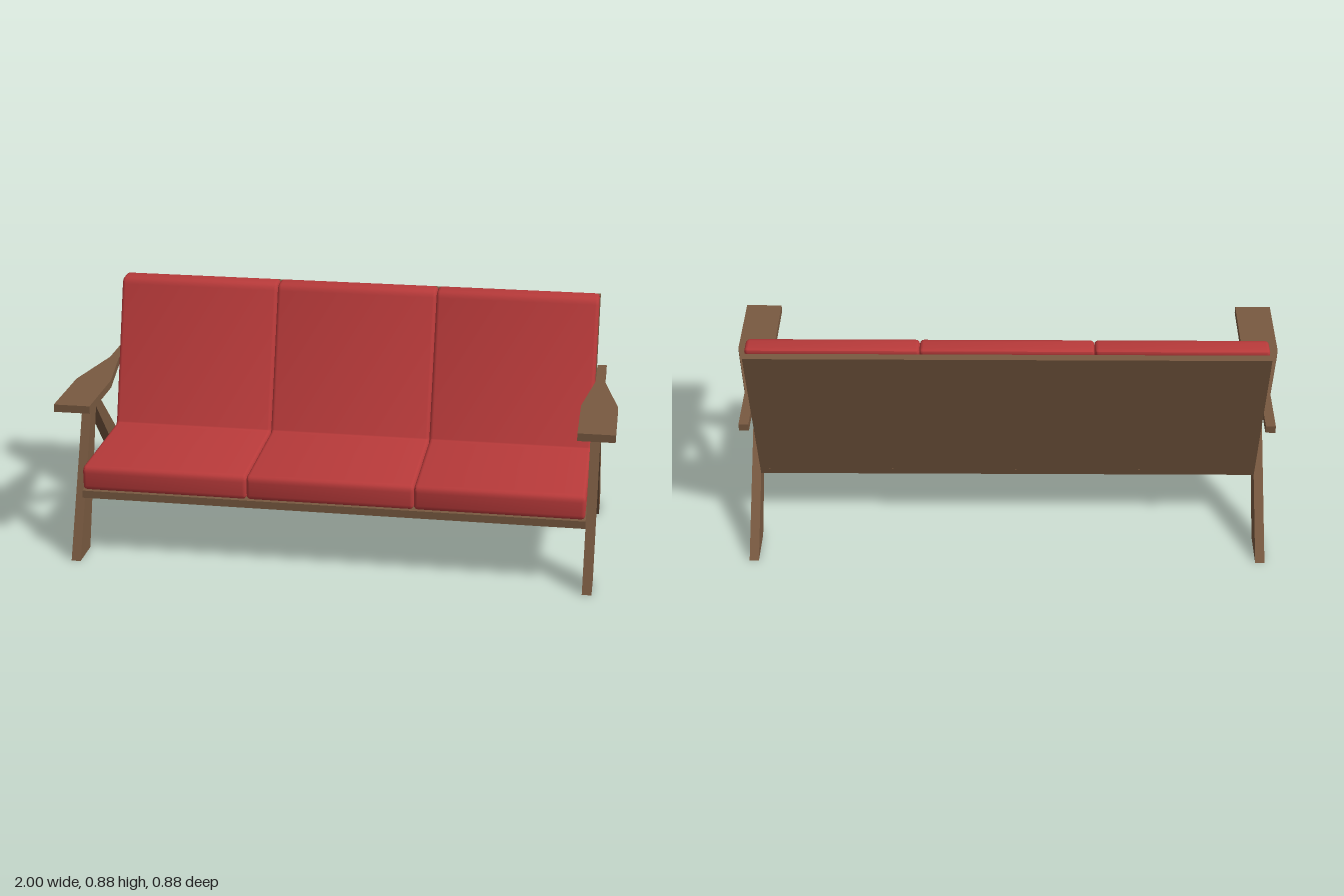
import * as THREE from 'three';
import { toCreasedNormals } from 'three/addons/utils/BufferGeometryUtils.js';

const wood = new THREE.MeshStandardMaterial({ color: 0x785940 });
wood.name = 'walnut wood';
const fabric = new THREE.MeshStandardMaterial({ color: 0xb83a3a });
fabric.name = 'red fabric';

// Closed shape from corner points, each [x, y, optional corner radius]
function polygon(points) {
  const shape = new THREE.Shape();
  points.forEach(([x, y, r = 0], i) => {
    const corner = new THREE.Vector2(x, y);
    const toward = (j) => {
      const p = points[(j + points.length) % points.length];
      return new THREE.Vector2(p[0], p[1]).sub(corner).setLength(r).add(corner);
    };
    const a = r ? toward(i - 1) : corner;
    if (i === 0) shape.moveTo(a.x, a.y);
    else shape.lineTo(a.x, a.y);
    if (r) {
      const b = toward(i + 1);
      shape.quadraticCurveTo(x, y, b.x, b.y);
    }
  });
  shape.closePath();
  return shape;
}

// Side profile in (z, y), extruded along x between x0 and x1
function sideExtrude(points, x0, x1, bevel = 0) {
  const geometry = new THREE.ExtrudeGeometry(polygon(points), {
    depth: x1 - x0 - 2 * bevel,
    bevelEnabled: bevel > 0,
    bevelSize: bevel,
    bevelThickness: bevel,
    bevelOffset: -bevel,
    bevelSegments: 3,
    curveSegments: 4,
  });
  geometry.rotateY(-Math.PI / 2);
  geometry.translate(x1 - bevel, 0, 0);
  return geometry;
}

function addMesh(group, name, geometry, material) {
  const mesh = new THREE.Mesh(geometry, material);
  mesh.name = name;
  group.add(mesh);
}

export function createModel() {
  const group = new THREE.Group();
  group.name = 'sofa';

  // Seat board and leaning back board
  const half = 0.91;
  addMesh(group, 'seatBoard', sideExtrude(
    [[0.375, 0.224], [0.375, 0.252], [-0.205, 0.252], [-0.205, 0.224]].reverse()
      .map(([z, y]) => [z === -0.205 && y > 0.23 ? -0.2125 : z, y]), -half, half), wood);
  addMesh(group, 'backBoard', sideExtrude(
    [[-0.205, 0.224], [-0.175, 0.224], [-0.343, 0.862], [-0.375, 0.862]], -half, half), wood);

  // Three L-shaped cushions side by side
  const cushion = [
    [0.375, 0.254, 0.018], [0.375, 0.345, 0.025], [-0.09, 0.345, 0.012],
    [-0.262, 0.876, 0.025], [-0.344, 0.876, 0.02], [-0.18, 0.254, 0.015],
  ];
  const width = 0.605;
  for (let i = 0; i < 3; i++) {
    const x0 = (i - 1.5) * width;
    const geometry = sideExtrude(cushion, x0, x0 + width, 0.014);
    addMesh(group, 'cushion' + (i + 1), toCreasedNormals(geometry, 0.6), fabric);
  }

  // Splayed leg pair and paddle-shaped armrest on each side
  const legs = [
    [0.44, 0], [0.2, 0.552], [0.14, 0.552], [-0.44, 0],
    [-0.293, 0], [0.155, 0.5], [0.312, 0],
  ];
  const arm = [
    [0.868, 0.375], [0.868, 0.09], [0.91, -0.18], [0.91, -0.375],
    [0.945, -0.375], [0.945, -0.18], [1, 0.09], [1, 0.375],
  ];
  for (const [side, s] of [['left', 1], ['right', -1]]) {
    const x = s * 0.927;
    addMesh(group, side + 'Legs', sideExtrude(legs, x - 0.017, x + 0.017), wood);

    const armGeometry = new THREE.ExtrudeGeometry(
      polygon(arm.map(([px, pz]) => [s * px, pz])), { depth: 0.028, bevelEnabled: false });
    armGeometry.rotateX(Math.PI / 2);
    armGeometry.translate(0, 0.58, 0);
    addMesh(group, side + 'Armrest', armGeometry, wood);
  }
  return group;
}
